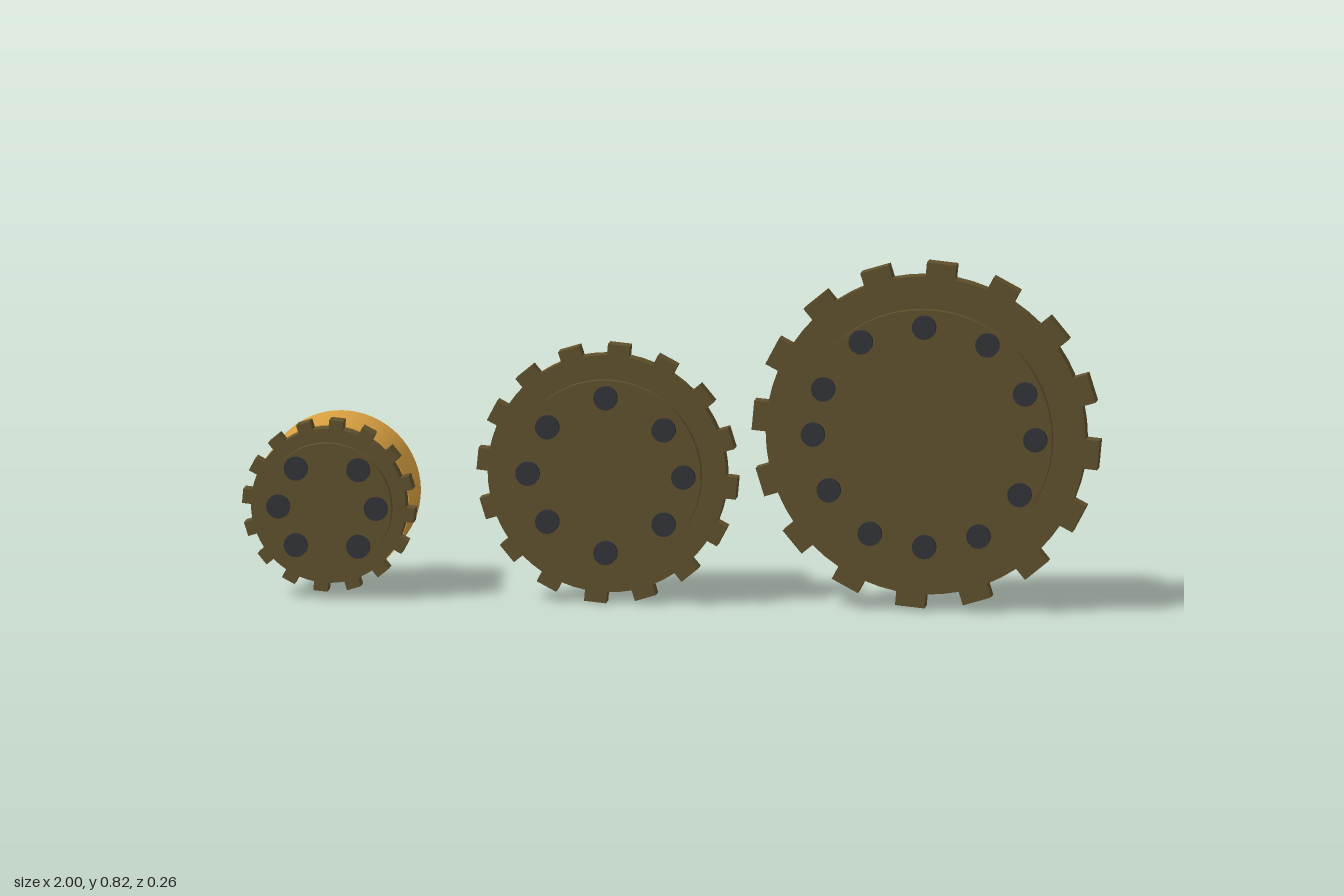
import * as THREE from 'three';

const paint = (color) => new THREE.MeshStandardMaterial({ color });
const brass = paint(0xd9a040), bronze = paint(0x60512c), steel = paint(0x303237);

const TEETH = 16;
const HUB_RADIUS = 0.183, HUB_BACK = -0.13;

// Cylinder lying along z between two depths
function disc(name, radius, z0, z1, material, x = 0, y = 0, sides = 64) {
  const geometry = new THREE.CylinderGeometry(radius, radius, z1 - z0, sides).rotateX(Math.PI / 2);
  const mesh = new THREE.Mesh(geometry, material);
  mesh.name = name;
  mesh.position.set(x, y, (z0 + z1) / 2);
  return mesh;
}

// Toothed plate: each pitch is one straight-sided tooth and one short root arc
function toothedPlate(root, tip, z0, z1) {
  const pitch = (Math.PI * 2) / TEETH, width = pitch * 0.47;
  const points = [];
  const add = (r, a) => points.push(new THREE.Vector2(r * Math.cos(a), r * Math.sin(a)));
  for (let i = 0; i < TEETH; i++) {
    const start = i * pitch - width;
    const slant = (width * (1 - root / tip)) / 2; // keeps the tooth flanks parallel
    add(root, start);
    add(tip, start + slant);
    add(tip, start + width - slant);
    add(root, start + width);
    add(root, start + (width + pitch) / 2);
  }
  const geometry = new THREE.ExtrudeGeometry(new THREE.Shape(points), { depth: z1 - z0, bevelEnabled: false });
  const mesh = new THREE.Mesh(geometry, bronze);
  mesh.name = 'toothedPlate';
  mesh.position.z = z0;
  return mesh;
}

function gear({ name, x, y, root, tip, face, z, bolts }) {
  const group = new THREE.Group();
  group.name = name;
  group.position.set(x, y, 0);
  const [back, front, faceZ, boltZ] = z;
  group.add(disc('hub', HUB_RADIUS, HUB_BACK, back, brass));
  group.add(toothedPlate(root, tip, back, front));
  group.add(disc('facePlate', face, front, faceZ, bronze));
  // Bolts are listed for one half and mirrored
  for (const [bx, by] of bolts) {
    for (const side of bx ? [1, -1] : [1]) {
      group.add(disc('bolt', 0.028, faceZ - 0.005, boltZ, steel, bx * side, by, 24));
    }
  }
  return group;
}

export function createModel() {
  const model = new THREE.Group();
  model.name = 'gearSet';
  model.add(
    gear({
      name: 'smallGear', x: -0.8, y: 0.22, root: 0.181, tip: 0.202, face: 0.15,
      z: [0.062, 0.105, 0.124, 0.13],
      bolts: [[0.073, 0.09], [0.114, 0], [0.073, -0.09]],
    }),
    gear({
      name: 'mediumGear', x: -0.153, y: 0.307, root: 0.279, tip: 0.305, face: 0.222,
      z: [0.036, 0.075, 0.093, 0.105],
      bolts: [[0, 0.182], [0.136, 0.11], [0.182, 0], [0.136, -0.112], [0, -0.182]],
    }),
    gear({
      name: 'largeGear', x: 0.592, y: 0.416, root: 0.374, tip: 0.407, face: 0.298,
      z: [0.036, 0.075, 0.093, 0.105],
      bolts: [[0, 0.258], [0.148, 0.22], [0.236, 0.107], [0.26, 0], [0.223, -0.13], [0.127, -0.23], [0, -0.258]],
    }),
  );
  return model;
}
